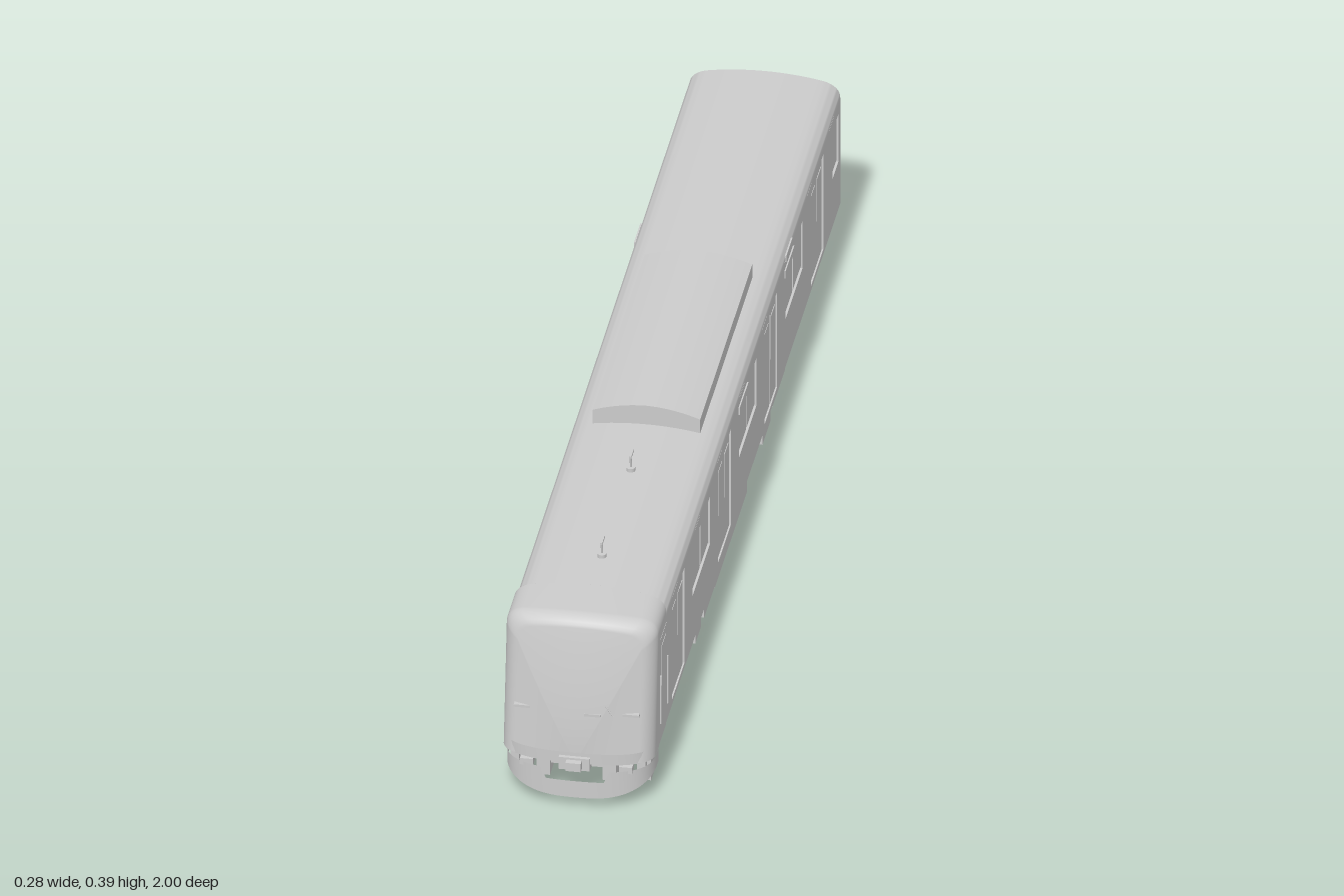
import * as THREE from 'three';
import { toCreasedNormals } from 'three/addons/utils/BufferGeometryUtils.js';

const mat = new THREE.MeshStandardMaterial({ color: 0xcccccc, side: THREE.DoubleSide });

export function createModel() {
  const train = new THREE.Group();
  train.name = 'railCar';

  const add = (name, geo, x = 0, y = 0, z = 0, parent = train) => {
    const m = new THREE.Mesh(geo, mat);
    m.name = name;
    m.position.set(x, y, z);
    parent.add(m);
    return m;
  };
  // box given by its min and max corners
  const box = (name, x0, x1, y0, y1, z0, z1, parent = train) =>
    add(name, new THREE.BoxGeometry(x1 - x0, y1 - y0, z1 - z0), (x0 + x1) / 2, (y0 + y1) / 2, (z0 + z1) / 2, parent);
  const rod = (name, r, len, axis, x, y, z, parent = train) => {
    const g = new THREE.CylinderGeometry(r, r, len, 20);
    if (axis === 'x') g.rotateZ(Math.PI / 2);
    if (axis === 'z') g.rotateX(Math.PI / 2);
    return add(name, g, x, y, z, parent);
  };
  const extrude = (shape, depth) =>
    toCreasedNormals(new THREE.ExtrudeGeometry(shape, { depth, bevelEnabled: false, curveSegments: 10 }), 0.5);
  const rect = (z0, z1, y0, y1, Type = THREE.Path) => {
    const p = new Type();
    p.moveTo(z0, y0); p.lineTo(z1, y0); p.lineTo(z1, y1); p.lineTo(z0, y1); p.closePath();
    return p;
  };
  // car cross-section: straight sides, rounded eaves, shallow roof
  const arch = (w, top, y0) => {
    const s = new THREE.Shape();
    s.moveTo(w, y0);
    s.lineTo(w, top - 0.042);
    s.quadraticCurveTo(w, top - 0.018, w - 0.03, top - 0.01);
    s.quadraticCurveTo(0.055, top, 0, top);
    s.quadraticCurveTo(-0.055, top, -w + 0.03, top - 0.01);
    s.quadraticCurveTo(-w, top - 0.018, -w, top - 0.042);
    s.lineTo(-w, y0);
    return s;
  };

  // main body: core, roof and floor
  add('bodyCore', extrude(arch(0.132, 0.35, 0.09), 1.81), 0, 0, -0.99);
  add('roof', extrude(arch(0.137, 0.354, 0.311), 1.81), 0, 0, -0.99);
  box('floor', -0.136, 0.136, 0.088, 0.094, -0.99, 0.93);

  // side walls with door and window openings
  const doors = [0.69, 0.21, -0.27, -0.75];
  const windows = [[0.45, 0.18], [-0.03, 0.18], [-0.51, 0.18], [-0.94, 0.06]];
  const wall = rect(-0.99, 0.82, 0.09, 0.313, THREE.Shape);
  doors.forEach(z => wall.holes.push(rect(z - 0.065, z + 0.065, 0.1, 0.3)));
  windows.forEach(([z, w]) => wall.holes.push(rect(z - w / 2, z + w / 2, 0.19, 0.29)));
  const wallGeo = extrude(wall, 0.005).rotateY(-Math.PI / 2);
  for (const s of [-1, 1]) {
    const side = new THREE.Group();
    side.name = s > 0 ? 'leftSide' : 'rightSide';
    train.add(side);
    add('sideWall', wallGeo, s > 0 ? 0.137 : -0.132, 0, 0, side);
    const panel = (name, z, w, y0, y1, x, t) =>
      box(name, s * x - t / 2, s * x + t / 2, y0, y1, z - w / 2, z + w / 2, side);
    for (const z of doors) for (const d of [-0.0325, 0.0325]) {
      panel('doorLeaf', z + d, 0.063, 0.1, 0.299, 0.1325, 0.003);
      panel('doorGlass', z + d, 0.042, 0.19, 0.28, 0.134, 0.002);
    }
    for (const [z, w] of windows) {
      const n = w > 0.1 ? 2 : 1;
      for (let i = 0; i < n; i++)
        panel('windowPane', z + (i - (n - 1) / 2) * w / 2, w / n - 0.008, 0.196, 0.285, 0.1328, 0.003);
    }
    // crew door and its handrails
    panel('crewDoor', 0.85, 0.06, 0.115, 0.303, 0.137, 0.003);
    panel('crewDoorGlass', 0.85, 0.04, 0.2, 0.285, 0.138, 0.003);
    for (const z of [0.814, 0.886]) rod('handrail', 0.0015, 0.1, 'y', s * 0.1395, 0.18, z, side);
    // destination signs
    panel('sideSign', 0.02, 0.09, 0.283, 0.298, 0.138, 0.003);
    panel('sideSign', -0.455, 0.09, 0.283, 0.298, 0.138, 0.003);
    panel('sideSign', -0.455, 0.065, 0.31, 0.322, 0.137, 0.003);
    // rear gangway guards and steps
    box('rearGuard', s * 0.127 - 0.006, s * 0.127 + 0.006, 0.15, 0.24, -1, -0.985, side);
    box('rearStep', s * 0.115 - 0.01, s * 0.115 + 0.01, 0.064, 0.068, -0.99, -0.97, side);
    for (const d of [-0.01, 0.01]) rod('rearStepHanger', 0.002, 0.03, 'y', s * 0.115 + d, 0.079, -0.98, side);
    // front steps
    box('frontStep', s * 0.115 - 0.013, s * 0.115 + 0.013, 0.03, 0.09, 0.885, 0.92, side);
    rod('sandPipe', 0.003, 0.075, 'y', s * 0.075, 0.05, 0.82, side);
  }

  // cab: cross-section lofted forward into a rounded, raked nose
  const noseZ = (x, y) =>
    0.977 - 0.022 * (x / 0.137) ** 2 - 0.04 * Math.max(0, (y - 0.1) / 0.26) ** 1.6;
  const section = arch(0.138, 0.367, 0.09).getPoints(10);
  const rings = [];
  for (let k = 0; k <= 6; k++) {
    const a = (k / 6) * Math.PI / 2, c = 1 - Math.cos(a);
    rings.push([1 - 0.18 * c, 1 - 0.07 * c, 0.026 * (1 - Math.sin(a))]);
  }
  for (let k = 7; k >= 0; k--) rings.push([0.82 * k / 8, 0.93 * k / 8, 0]);
  const pos = [], idx = [], n = section.length;
  section.forEach(p => pos.push(p.x, p.y, 0.82));
  rings.forEach(([sx, sy, back]) => section.forEach(p => {
    const x = p.x * sx, y = 0.09 + (p.y - 0.09) * sy;
    pos.push(x, y, noseZ(x, y) - back);
  }));
  for (let k = 0; k < rings.length; k++) for (let i = 0; i < n - 1; i++) {
    const a = k * n + i, b = a + 1, c = a + n, d = c + 1;
    idx.push(a, b, c, b, d, c);
  }
  const cab = new THREE.BufferGeometry();
  cab.setAttribute('position', new THREE.Float32BufferAttribute(pos, 3));
  cab.setIndex(idx);
  cab.computeVertexNormals();
  add('cab', cab);
  add('cabRearFace', new THREE.ShapeGeometry(arch(0.138, 0.367, 0.3)), 0, 0, 0.82);

  // lamps and wiper on the nose
  for (const x of [-0.1, 0.03, 0.098]) box('lamp', x - 0.015, x + 0.015, 0.183, 0.188, noseZ(x, 0.185) - 0.012, noseZ(x, 0.185) + 0.001);
  const wiper = rod('wiper', 0.0012, 0.025, 'y', 0.06, 0.195, noseZ(0.06, 0.195) + 0.001);
  wiper.rotation.z = 0.6;

  // curved strip around the front, with rules for lower and upper height
  const strip = (name, w, z0, depth, low, high) => {
    const outer = [], tri = [], N = 40;
    for (let i = 0; i <= N; i++) {
      const t = (i / N - 0.5) * Math.PI;
      const x = w * Math.sign(t) * Math.abs(Math.sin(t)) ** 0.8, z = z0 + depth * Math.cos(t) ** 0.6;
      outer.push(x, low(x), z, x, high(x), z);
      if (i < N) tri.push(2 * i, 2 * i + 2, 2 * i + 1, 2 * i + 1, 2 * i + 2, 2 * i + 3);
    }
    const g = new THREE.BufferGeometry();
    g.setAttribute('position', new THREE.Float32BufferAttribute(outer, 3));
    g.setIndex(tri);
    g.computeVertexNormals();
    return add(name, g);
  };
  strip('frontSill', 0.1385, 0.9, 0.081, () => 0.089, () => 0.111);
  strip('pilot', 0.135, 0.885, 0.1, x => 0.02 + 0.03 * Math.abs(x / 0.135) ** 3, x => Math.abs(x) < 0.055 ? 0.054 : 0.076);
  for (const s of [-1, 1]) {
    box('pilotBracket', s * 0.06 - 0.012, s * 0.06 + 0.012, 0.05, 0.09, 0.91, 0.965);
    box('pilotStay', s * 0.115 - 0.006, s * 0.115 + 0.006, 0.05, 0.09, 0.92, 0.94);
    box('hoseBlock', s * 0.09 - 0.012, s * 0.09 + 0.012, 0.07, 0.083, 0.95, 0.97);
  }

  // coupler
  box('couplerBeam', -0.05, 0.05, 0.07, 0.1, 0.87, 0.955);
  box('couplerShank', -0.018, 0.018, 0.08, 0.1, 0.94, 0.985);
  box('couplerHead', -0.028, 0.028, 0.079, 0.104, 0.97, 0.988);
  box('couplerKnuckle', -0.014, 0.014, 0.083, 0.1, 0.988, 1);
  box('rearCoupler', -0.02, 0.02, 0.055, 0.09, -0.985, -0.9);

  // roof unit with curved lid
  const unit = new THREE.Shape();
  unit.moveTo(-0.098, 0.335);
  unit.lineTo(0.098, 0.335);
  unit.lineTo(0.098, 0.374);
  unit.quadraticCurveTo(0.05, 0.392, 0, 0.393);
  unit.quadraticCurveTo(-0.05, 0.392, -0.098, 0.374);
  add('roofUnit', extrude(unit, 0.54), 0, 0, -0.3);

  // antennas
  for (const z of [0.7, 0.4]) {
    rod('antennaBase', 0.008, 0.008, 'y', 0, 0.357, z);
    const mast = rod('antennaMast', 0.002, 0.03, 'y', 0, 0.37, z);
    mast.rotation.x = 0.2;
    box('antennaTip', -0.002, 0.002, 0.382, 0.386, z - 0.02, z + 0.006);
  }

  // bogies
  const frame = new THREE.Shape();
  frame.moveTo(-0.135, 0.04);
  frame.lineTo(-0.075, 0.04);
  frame.lineTo(-0.05, 0.03);
  frame.lineTo(0.05, 0.03);
  frame.lineTo(0.075, 0.04);
  frame.lineTo(0.135, 0.04);
  frame.lineTo(0.13, 0.06);
  frame.lineTo(0.06, 0.064);
  frame.lineTo(0.045, 0.052);
  frame.lineTo(-0.045, 0.052);
  frame.lineTo(-0.06, 0.064);
  frame.lineTo(-0.13, 0.06);
  const frameGeo = extrude(frame, 0.012).rotateY(-Math.PI / 2);
  for (const z of [0.65, -0.705]) {
    const bogie = new THREE.Group();
    bogie.name = 'bogie';
    bogie.position.z = z;
    train.add(bogie);
    box('bolster', -0.1, 0.1, 0.055, 0.075, -0.03, 0.03, bogie);
    box('motorPlate', -0.055, 0.055, 0.035, 0.06, -0.075, 0.075, bogie);
    for (const s of [-1, 1]) {
      add('sideFrame', frameGeo, s * 0.1 + 0.006, 0, 0, bogie);
      rod('airSpring', 0.024, 0.026, 'y', s * 0.095, 0.077, 0, bogie);
      for (const w of [-0.105, 0.105]) {
        rod('wheel', 0.036, 0.017, 'x', s * 0.079, 0.04, w, bogie);
        rod('wheelFlange', 0.04, 0.004, 'x', s * 0.07, 0.04, w, bogie);
        rod('axleBox', 0.014, 0.02, 'x', s * 0.102, 0.042, w, bogie);
      }
    }
    for (const w of [-0.105, 0.105]) rod('axle', 0.007, 0.19, 'x', 0, 0.04, w, bogie);
  }

  // underfloor equipment: x0, x1, lowest y, z0, z1
  [
    [0.06, 0.128, 0.036, -0.075, 0.26], [0.07, 0.128, 0.04, 0.265, 0.37], [0.08, 0.128, 0.04, 0.405, 0.46],
    [0.08, 0.128, 0.038, -0.32, -0.235], [0.07, 0.128, 0.055, -0.47, -0.34],
    [-0.125, -0.05, 0.036, 0.16, 0.29], [-0.125, -0.06, 0.045, 0.08, 0.15], [-0.125, -0.06, 0.04, 0.01, 0.07],
    [-0.125, -0.06, 0.045, -0.07, 0], [-0.12, -0.06, 0.04, -0.33, -0.26],
    [0.06, 0.12, 0.03, -0.95, -0.86], [-0.12, -0.06, 0.03, -0.95, -0.86]
  ].forEach(([x0, x1, y, z0, z1]) => box('underfloorBox', x0, x1, y, 0.09, z0, z1));
  rod('crossTank', 0.018, 0.22, 'x', 0, 0.069, -0.11);
  rod('longTank', 0.013, 0.19, 'z', -0.03, 0.066, -0.43);

  return train;
}
